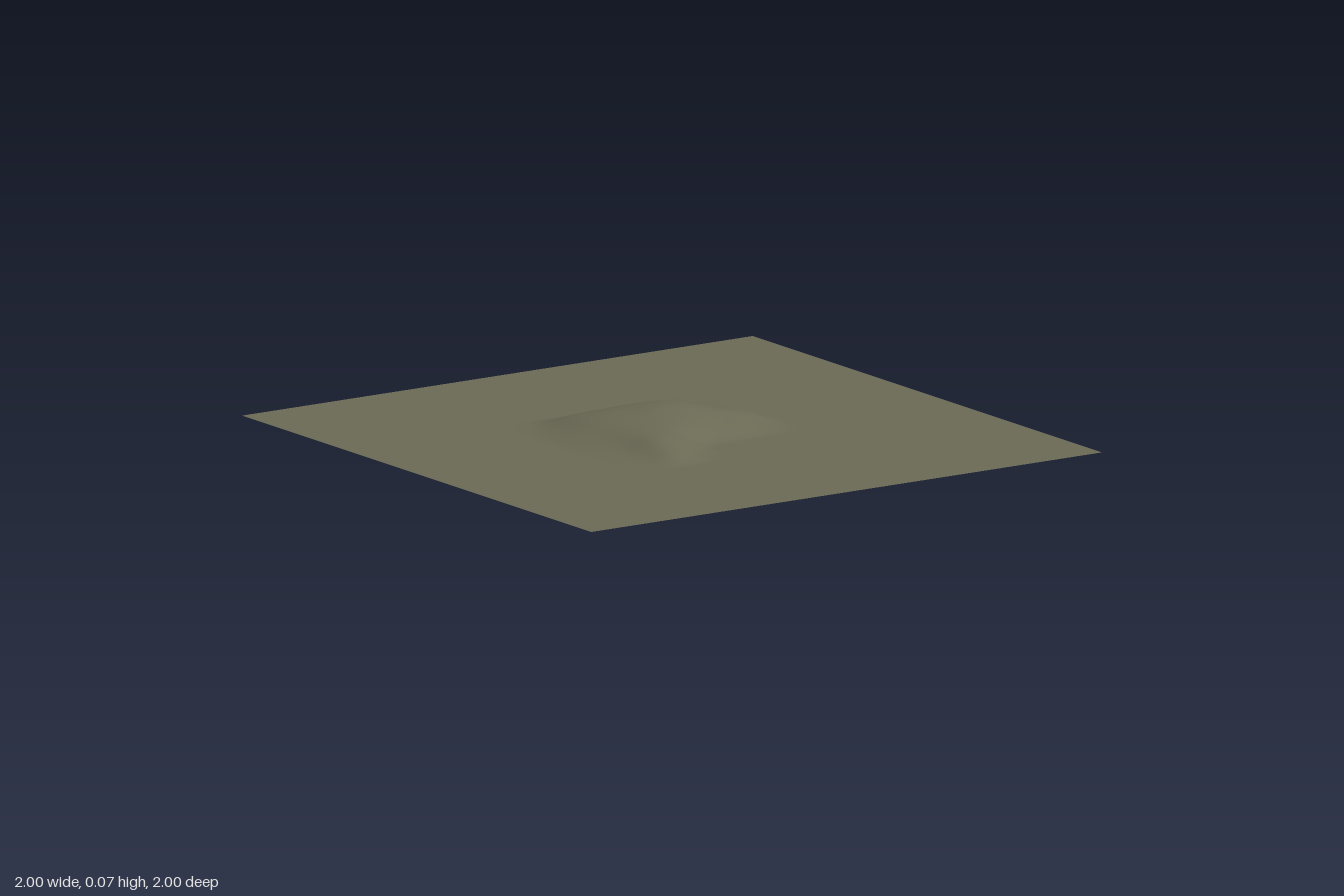
import * as THREE from 'three';

// Hill heights in thousandths, 0.1 apart: rows run from back (z = -0.4) to front, columns from x = -0.4 to 0.4
const HEIGHTS = [
  [0, 0, 0, 0, 0, 0, 0, 0, 0],
  [0, 5, 28, 34, 35, 33, 22, 3, 0],
  [0, 14, 40, 55, 62, 60, 40, 14, 0],
  [0, 20, 44, 58, 71, 71, 48, 26, 0],
  [0, 18, 44, 54, 60, 60, 50, 32, 0],
  [0, 15, 44, 48, 40, 32, 28, 14, 0],
  [0, 10, 44, 34, 3, 0, 0, 0, 0],
  [0, 4, 26, 10, 0, 0, 0, 0, 0],
  [0, 0, 0, 0, 0, 0, 0, 0, 0],
];

const control = (row, col) => (HEIGHTS[row]?.[col] ?? 0) / 1000;

// Smooth curve through four neighbouring heights
function spline(a, b, c, d, t) {
  return b + 0.5 * t * (c - a + t * (2 * a - 5 * b + 4 * c - d + t * (3 * (b - c) + d - a)));
}

function heightAt(x, z) {
  const u = (x + 0.4) / 0.1, v = (z + 0.4) / 0.1;
  const col = Math.floor(u), row = Math.floor(v);
  const across = [-1, 0, 1, 2].map((k) =>
    spline(...[-1, 0, 1, 2].map((j) => control(row + k, col + j)), u - col));
  return Math.max(0, spline(...across, v - row));
}

export function createModel() {
  const group = new THREE.Group();
  const olive = new THREE.MeshStandardMaterial({ color: 0x6b6a55, side: THREE.DoubleSide });
  olive.name = 'olive earth';

  // Square ground sheet raised into a low hill with a spur toward the front
  const geometry = new THREE.PlaneGeometry(2, 2, 120, 120).rotateX(-Math.PI / 2);
  const position = geometry.attributes.position;
  for (let i = 0; i < position.count; i++) {
    position.setY(i, heightAt(position.getX(i), position.getZ(i)));
  }
  geometry.computeVertexNormals();

  const terrain = new THREE.Mesh(geometry, olive);
  terrain.name = 'terrain';
  group.add(terrain);
  return group;
}
